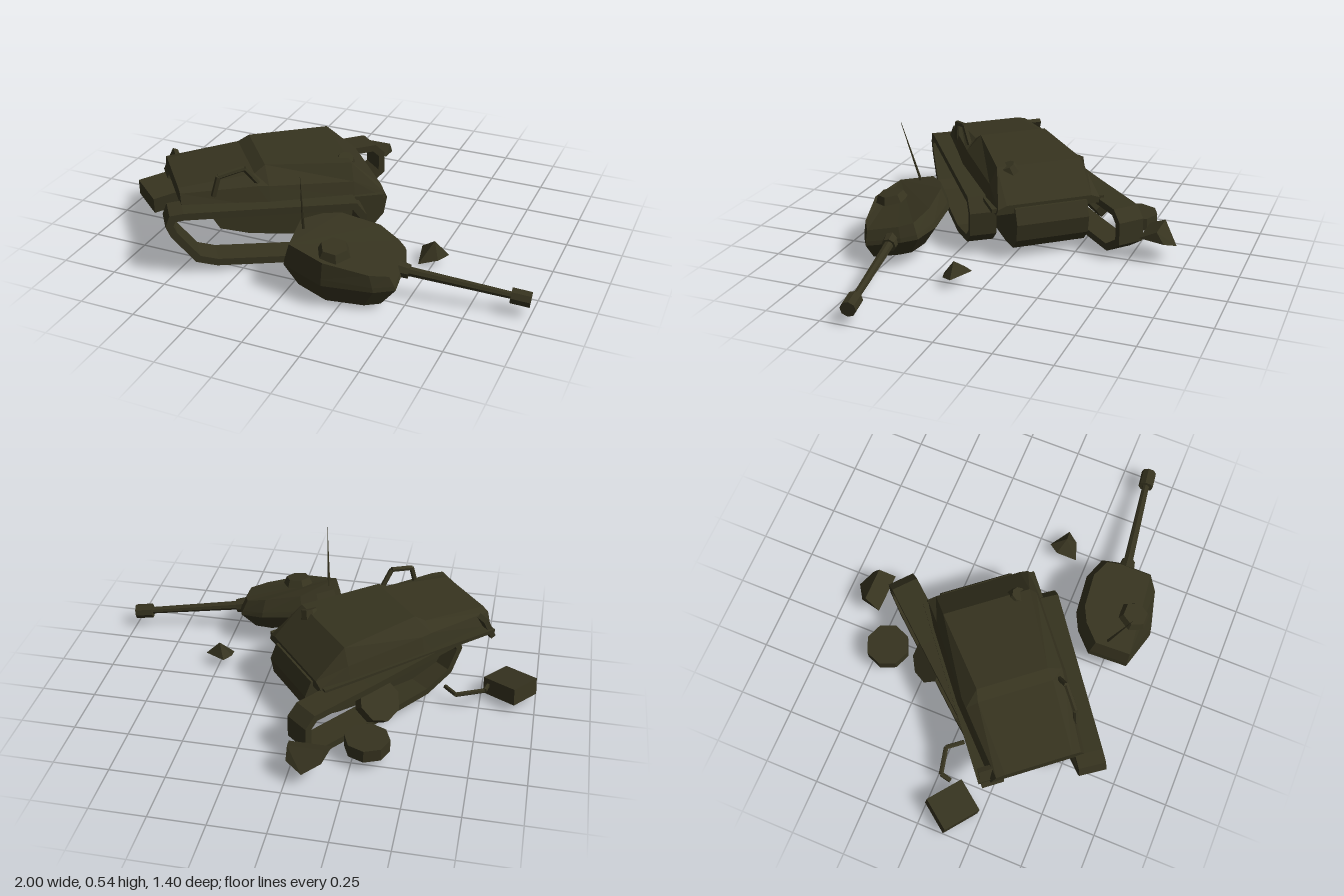
import * as THREE from 'three';
import { ConvexGeometry } from 'three/addons/geometries/ConvexGeometry.js';

const V = (x, y, z) => new THREE.Vector3(x, y, z);

export function createModel() {
  const model = new THREE.Group();
  model.name = 'wreckedTank';
  const olive = new THREE.MeshStandardMaterial({ color: 0x36331f, flatShading: true });
  olive.name = 'darkOlive';

  const add = (parent, name, geometry) => {
    const mesh = new THREE.Mesh(geometry, olive);
    mesh.name = name;
    parent.add(mesh);
    return mesh;
  };

  // Skin over rings that run counterclockwise seen from the last ring's end
  const loft = (rings) => {
    const pos = [];
    const tri = (...ps) => ps.forEach((p) => pos.push(p.x, p.y, p.z));
    const n = rings[0].length;
    for (let i = 0; i < rings.length - 1; i++) {
      for (let j = 0; j < n; j++) {
        const k = (j + 1) % n;
        tri(rings[i][j], rings[i][k], rings[i + 1][k]);
        tri(rings[i][j], rings[i + 1][k], rings[i + 1][j]);
      }
    }
    const first = rings[0], last = rings[rings.length - 1];
    for (let j = 1; j < n - 1; j++) {
      tri(first[0], first[j + 1], first[j]);
      tri(last[0], last[j], last[j + 1]);
    }
    const g = new THREE.BufferGeometry();
    g.setAttribute('position', new THREE.Float32BufferAttribute(pos, 3));
    g.computeVertexNormals();
    return g;
  };

  // Straight rod between two points
  const rod = (parent, name, a, b, r1, r2 = r1, sides = 6) => {
    const mesh = add(parent, name, new THREE.CylinderGeometry(r2, r1, a.distanceTo(b), sides));
    mesh.position.copy(a).add(b).multiplyScalar(0.5);
    mesh.quaternion.setFromUnitVectors(V(0, 1, 0), b.clone().sub(a).normalize());
  };
  const bentPipe = (name, pts, r) => {
    const g = new THREE.Group();
    g.name = name;
    for (let i = 0; i < pts.length - 1; i++) rod(g, 'pipeSegment', pts[i], pts[i + 1], r);
    model.add(g);
  };

  // Hollow track band: counterclockwise outline, inset by its thickness
  const trackBand = (outline, thick, width) => {
    const p = outline.map(([x, y]) => new THREE.Vector2(x, y));
    const n = p.length;
    const inner = p.map((q, i) => {
      const d1 = q.clone().sub(p[(i + n - 1) % n]).normalize();
      const d2 = p[(i + 1) % n].clone().sub(q).normalize();
      const m = new THREE.Vector2(-d1.y - d2.y, d1.x + d2.x);
      return q.clone().addScaledVector(m, thick / (1 + d1.dot(d2)));
    });
    const shape = new THREE.Shape(p);
    shape.holes.push(new THREE.Path(inner.reverse()));
    const g = new THREE.ExtrudeGeometry(shape, { depth: width, bevelEnabled: false });
    return g.translate(0, 0, -width / 2);
  };

  // Hull: local x runs along it, local z across
  const hull = new THREE.Group();
  hull.name = 'hull';
  hull.rotation.y = 0.69;
  hull.position.set(-0.045, 0, -0.054);
  model.add(hull);

  // Each section: position, then half width and height of lower edge, shoulder and roof edge
  const sections = [
    [-0.75, 0.215, 0.29, 0.19, 0.35, 0.15, 0.358],
    [-0.42, 0.25, 0.27, 0.225, 0.355, 0.17, 0.39],
    [-0.37, 0.255, 0.27, 0.23, 0.35, 0.16, 0.42],
    [0.01, 0.255, 0.25, 0.235, 0.32, 0.2, 0.396],
    [0.15, 0.25, 0.225, 0.24, 0.25, 0.2, 0.265],
  ];
  add(hull, 'upperHull', loft(sections.map(([x, a, ya, b, yb, c, yc]) => [
    V(x, ya, a), V(x, ya, -a), V(x, yb, -b), V(x, yc, -c), V(x, yc, c), V(x, yb, b),
  ])));

  // Lower hull with a rising belly
  const belly = new THREE.Shape([
    [-0.67, 0.3], [-0.58, 0.14], [-0.45, 0.095], [-0.2, 0.05], [0.02, 0.04],
    [0.13, 0.05], [0.175, 0.1], [0.19, 0.18], [0.16, 0.25],
  ].map(([x, y]) => new THREE.Vector2(x, y)));
  add(hull, 'lowerHull', new THREE.ExtrudeGeometry(belly, { depth: 0.34, bevelEnabled: false })
    .translate(0, 0, -0.175));

  // Fender rails, hatch and loose fender flap
  for (const s of [-1, 1]) {
    const rail = add(hull, 'fenderRail', new THREE.BoxGeometry(0.88, 0.018, 0.06));
    rail.position.set(-0.3, 0.268, s * 0.236);
    rail.rotation.z = -0.055;
  }
  const hatch = add(hull, 'hatch', new THREE.CylinderGeometry(0.035, 0.05, 0.05, 8));
  hatch.position.set(0, 0.375, 0.14);
  hatch.rotation.x = 0.4;
  const flap = add(hull, 'fenderFlap', new THREE.BoxGeometry(0.025, 0.11, 0.1));
  flap.position.set(-0.72, 0.3, -0.205);
  flap.rotation.z = -0.45;

  // Near track, slack at its far end
  const nearTrack = add(model, 'leftTrack', trackBand([
    [0.01, 0.265], [-0.74, 0.305], [-0.8, 0.3], [-0.82, 0.25], [-0.8, 0.2], [-0.7, 0.065], [-0.61, 0.035],
    [-0.22, 0.002], [-0.02, 0.035], [0.045, 0.09], [0.056, 0.2],
  ], 0.032, 0.122));
  nearTrack.rotation.y = 0.63;
  nearTrack.position.set(0.203 * 0.589, 0, 0.203 * 0.808);

  // Far track, twisted out from under the hull
  const farTrack = add(model, 'rightTrack', trackBand([
    [0, 0.185], [-0.05, 0.235], [-0.36, 0.25], [-0.88, 0.285], [-0.9, 0.23], [-0.84, 0.12],
    [-0.7, 0.06], [-0.36, 0.03], [-0.1, 0.015], [0, 0.08],
  ], 0.032, 0.125));
  farTrack.rotation.y = 0.86;
  farTrack.position.set(-0.014, 0, -0.505);

  // Fallen turret: outline scaled at four heights, tipped by a slope and drooping at the nose
  const turret = new THREE.Group();
  turret.name = 'turret';
  turret.position.set(0.23, 0, 0.475);
  model.add(turret);
  const outline = [
    [-0.23, 0.135], [-0.04, 0.185], [0.17, 0.135], [0.25, 0.085], [0.235, -0.08],
    [0.21, -0.15], [0.1, -0.185], [-0.09, -0.165], [-0.17, -0.125], [-0.25, -0.045],
  ];
  const ring = (s, h, dz, nose) => outline.map(([x, z]) => {
    const px = x * s, pz = z * s + dz;
    return V(px, h - 0.1 * px - 0.2 * pz - nose * Math.max(0, px), pz);
  });
  add(turret, 'turretBody', loft([
    ring(0.74, 0.058, 0.02, 0), ring(1, 0.145, 0, 0), ring(0.98, 0.175, 0.003, 0.05), ring(0.89, 0.25, 0.014, 0.2),
  ]));
  const cupola = add(turret, 'cupola', new THREE.CylinderGeometry(0.058, 0.074, 0.035, 6));
  cupola.position.set(-0.02, 0.238, 0.09);
  cupola.rotation.set(0.2, 0.5, -0.1);

  // Gun and antenna
  rod(model, 'gunMantlet', V(0.42, 0.142, 0.45), V(0.495, 0.13, 0.44), 0.04, 0.032, 8);
  rod(model, 'gunBarrel', V(0.46, 0.135, 0.445), V(0.94, 0.083, 0.377), 0.022, 0.016, 8);
  rod(model, 'muzzleBrake', V(0.915, 0.085, 0.38), V(0.997, 0.076, 0.369), 0.035, 0.035, 8);
  rod(model, 'antenna', V(0.04, 0.25, 0.493), V(0.066, 0.545, 0.575), 0.007, 0.001, 5);

  // Deck handle and loose pipe
  bentPipe('deckHandle', [V(-0.38, 0.33, 0.5), V(-0.36, 0.42, 0.485), V(-0.275, 0.442, 0.41), V(-0.235, 0.36, 0.365)], 0.012);
  bentPipe('loosePipe', [V(-0.78, 0.085, 0.07), V(-0.77, 0.09, 0.02), V(-0.645, 0.07, -0.01), V(-0.59, 0.062, 0.055)], 0.011);

  // Loose road wheels
  const wheelGeometry = new THREE.CylinderGeometry(0.1, 0.1, 0.058, 8);
  const flatWheel = add(model, 'looseWheel', wheelGeometry);
  flatWheel.position.set(-0.31, 0.08, -0.447);
  const leaningWheel = add(model, 'leaningWheel', wheelGeometry);
  leaningWheel.position.set(-0.315, 0.14, -0.22);
  leaningWheel.quaternion.setFromUnitVectors(V(0, 1, 0), V(-0.5, 0.62, -0.52).normalize());

  // Stowage box and armour fragments
  const crate = add(model, 'stowageBox', new THREE.BoxGeometry(0.18, 0.08, 0.158));
  crate.position.set(-0.88, 0.064, 0.12);
  crate.rotation.set(0.08, -0.64, -0.08);
  add(model, 'rearFragment', new ConvexGeometry([
    V(-0.177, 0.12, -0.55), V(0.01, 0.12, -0.548), V(-0.155, 0.155, -0.625), V(0, 0.155, -0.625),
    V(-0.075, 0.07, -0.7), V(0, 0.1, -0.658), V(-0.15, 0.1, -0.65),
  ]));
  add(model, 'sideFragment', new ConvexGeometry([
    V(0.465, 0.06, 0.06), V(0.5, 0.11, 0.13), V(0.565, 0.05, 0.12), V(0.53, 0.04, 0.17),
    V(0.45, 0.02, 0.2), V(0.435, 0.06, 0.105),
  ]));

  return model;
}
